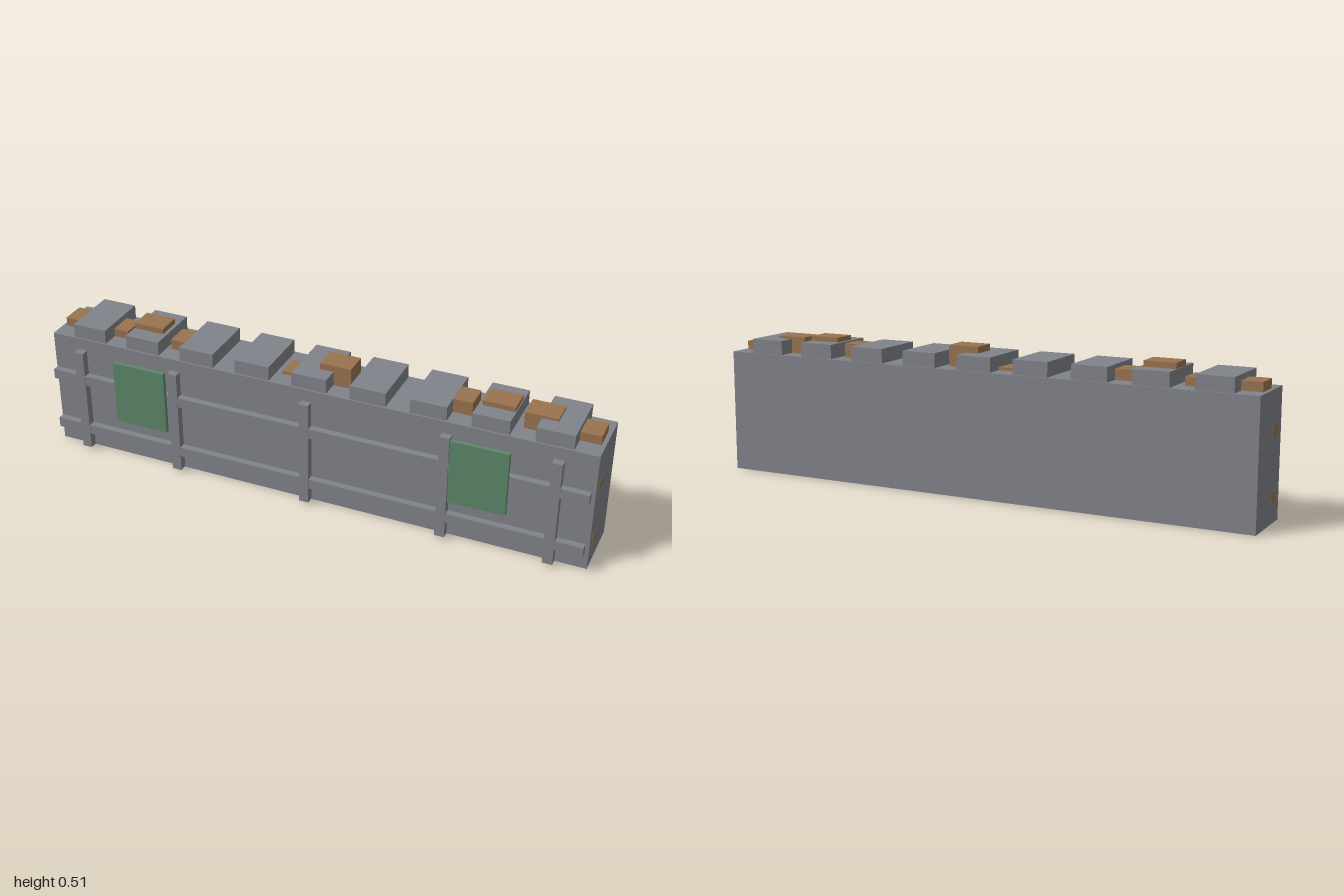
import * as THREE from 'three';

export function createModel() {
  const model = new THREE.Group();
  model.name = 'battlementWall';

  const stone = new THREE.MeshStandardMaterial({ name: 'grey stone', color: 0x808389 });
  const rubble = new THREE.MeshStandardMaterial({ name: 'tan rubble', color: 0x98744f });
  const cloth = new THREE.MeshStandardMaterial({ name: 'green cloth', color: 0x5c876a });

  // Box given by its extents along each axis
  function box(name, material, [x0, x1], [y0, y1], [z0, z1]) {
    const mesh = new THREE.Mesh(new THREE.BoxGeometry(x1 - x0, y1 - y0, z1 - z0), material);
    mesh.position.set((x0 + x1) / 2, (y0 + y1) / 2, (z0 + z1) / 2);
    mesh.name = name;
    model.add(mesh);
  }
  const around = (centre, size) => [centre - size / 2, centre + size / 2];

  // Main wall
  box('wall', stone, [-0.999, 0.999], [0.001, 0.44], [-0.14, 0.085]);

  // Merlons along the top
  for (let i = -4; i <= 4; i++) {
    box('merlon', stone, around(i * 0.2125, 0.128), [0.43, 0.491], [-0.133, 0.079]);
  }

  // Rubble core columns, showing at the foot and, where tall enough, at the top
  const heights = [0.472, 0.47, 0.511, 0.477, 0.42, 0.42, 0.45, 0.514, 0.42, 0.42, 0.49, 0.508, 0.5, 0.472];
  heights.forEach((h, i) => {
    box('rubbleColumn', rubble, around((i - 6.5) / 7, 0.112), [0, h], [-0.07, 0.017]);
  });

  // Tie beams through the wall, ending at both ends
  for (const y of [0.088, 0.305]) {
    box('tieBeam', rubble, [-1, 1], around(y, 0.04), [0, 0.048]);
  }

  // Lattice in front of the wall
  for (const x of [-0.875, -0.5, 0, 0.5, 0.875]) {
    box('latticePost', stone, around(x, 0.035), [0.012, 0.404], [0.097, 0.125]);
  }
  for (const y of [0.089, 0.294]) {
    box('latticeRail', stone, [-0.988, 0.988], around(y, 0.037), [0.098, 0.123]);
  }

  // Hanging banners
  for (const x of [-0.625, 0.625]) {
    box('banner', cloth, around(x, 0.2), [0.17, 0.407], [0.125, 0.14]);
  }

  return model;
}
